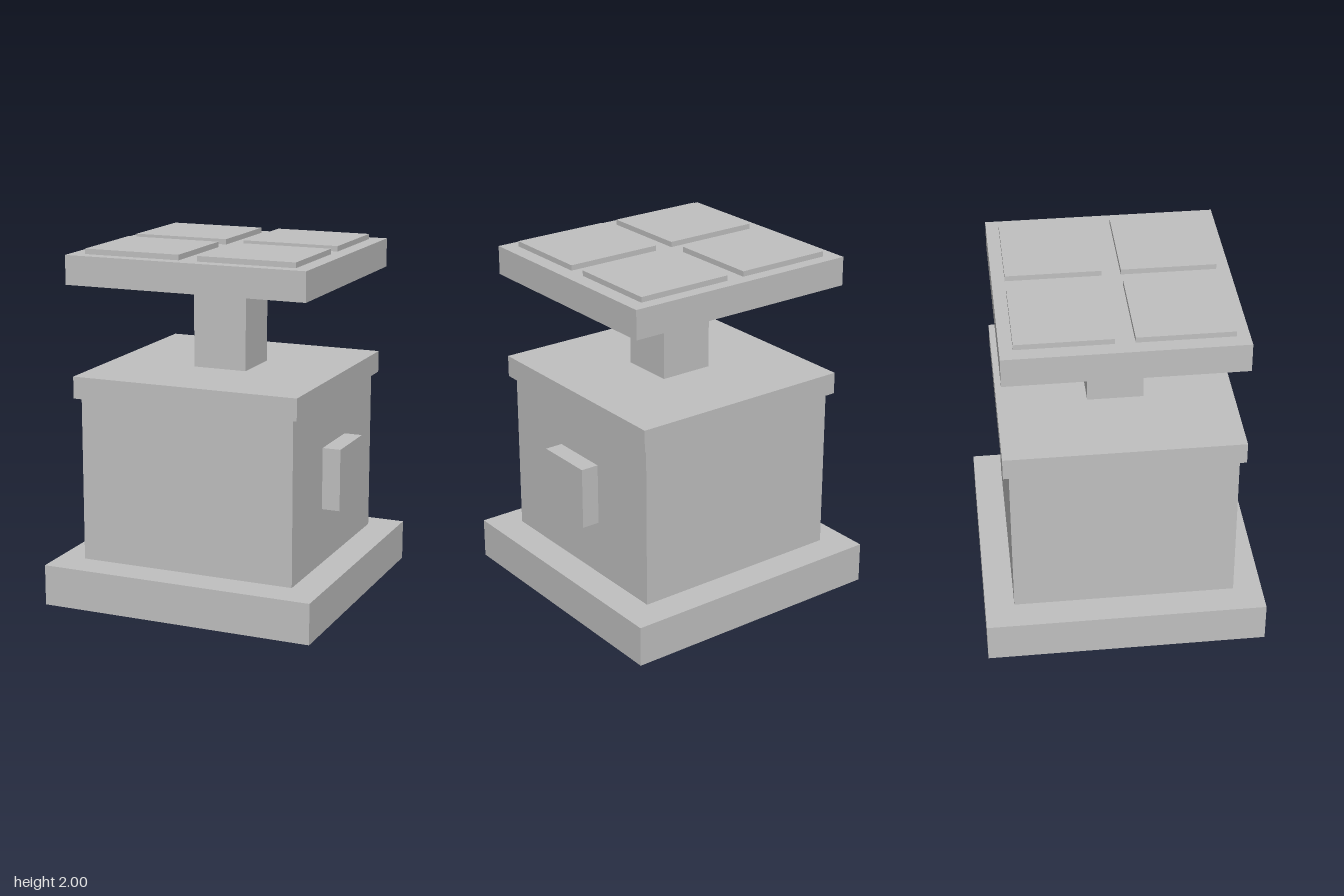
import * as THREE from 'three';

export function createModel() {
  const group = new THREE.Group();
  const grey = new THREE.MeshStandardMaterial({ color: 0xc0c0c0 });
  grey.name = 'light grey';

  // Box with its footprint centre at (x, z), spanning y0 to y1
  function block(name, width, depth, y0, y1, x = 0, z = 0) {
    const mesh = new THREE.Mesh(new THREE.BoxGeometry(width, y1 - y0, depth), grey);
    mesh.name = name;
    mesh.position.set(x, (y0 + y1) / 2, z);
    group.add(mesh);
  }

  // Pedestal
  block('base', 1.586, 1.586, 0, 0.232);
  block('body', 1.255, 1.255, 0.243, 1.176);
  block('bodyCap', 1.32, 1.32, 1.176, 1.3);
  block('sideBox', 0.105, 0.354, 0.56, 0.912, 0.679, 0);

  // Post and head
  block('post', 0.314, 0.314, 1.3, 1.806);
  block('headPlate', 1.4, 1.298, 1.806, 1.97);

  // Four raised panels on the head
  for (const sx of [-1, 1]) {
    for (const sz of [-1, 1]) {
      block('topPanel', 0.562, 0.524, 1.97, 2, sx * 0.334, sz * 0.315);
    }
  }
  return group;
}
